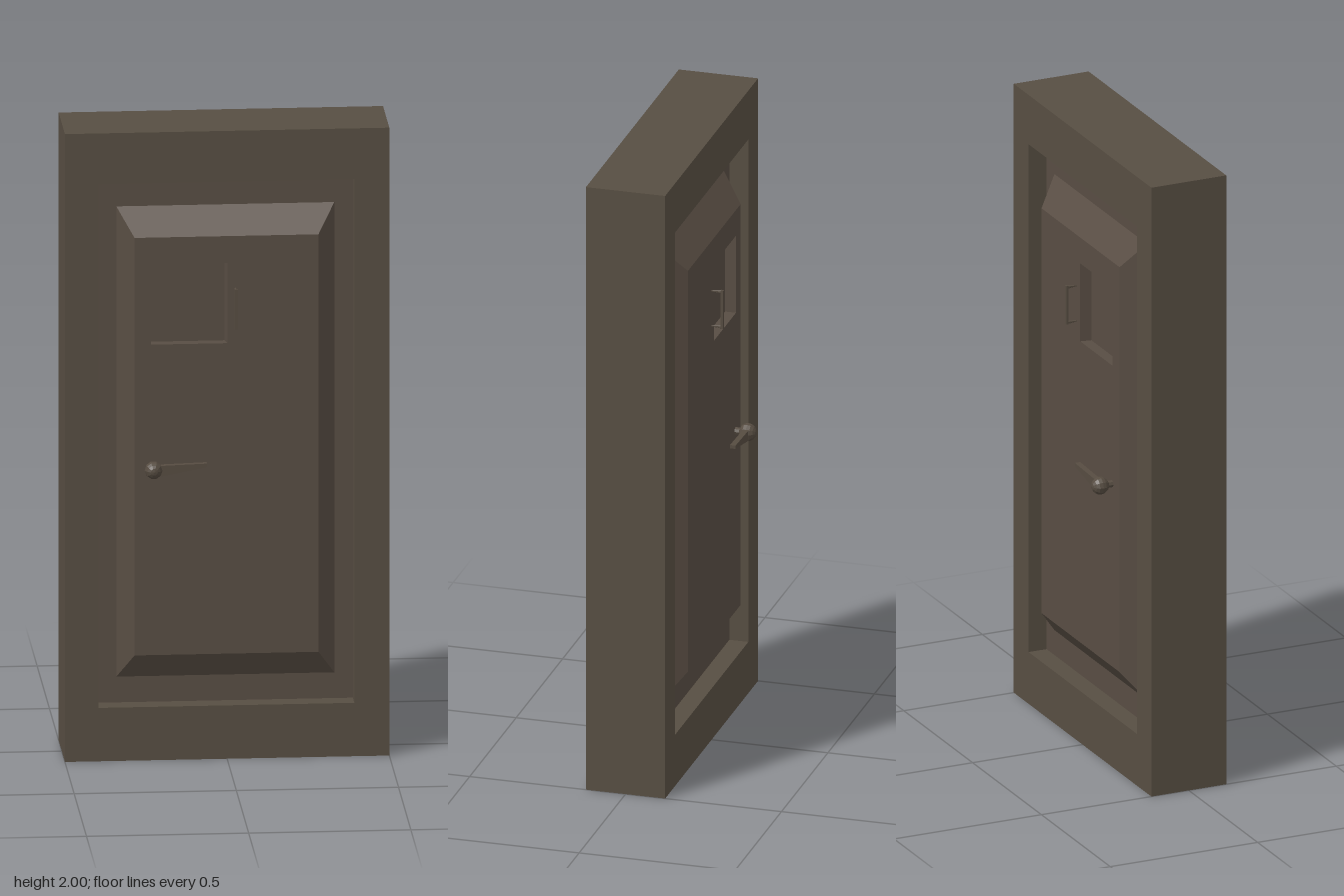
import * as THREE from 'three';

const mat = (name, color) => {
  const m = new THREE.MeshStandardMaterial({ color });
  m.name = name;
  return m;
};

// Rectangle corners, counter-clockwise seen from the front
const corners = ([x0, x1, y0, y1, z]) => [[x0, y0, z], [x1, y0, z], [x1, y1, z], [x0, y1, z]];

// Joins a row of rectangles with four-sided bands; cap closes the last one
function bands(rings, cap = false) {
  const pos = [];
  const quad = (a, b, c, d) => pos.push(...a, ...b, ...c, ...a, ...c, ...d);
  for (let r = 0; r < rings.length - 1; r++) {
    const a = corners(rings[r]), b = corners(rings[r + 1]);
    for (let i = 0; i < 4; i++) {
      const j = (i + 1) % 4;
      quad(a[i], a[j], b[j], b[i]);
    }
  }
  if (cap) quad(...corners(rings[rings.length - 1]));
  const g = new THREE.BufferGeometry();
  g.setAttribute('position', new THREE.Float32BufferAttribute(pos, 3));
  g.computeVertexNormals();
  return g;
}

// Mirrors a geometry to the back and restores the corner order
function mirrorZ(geometry) {
  const g = geometry.index ? geometry.toNonIndexed() : geometry.clone();
  g.scale(1, 1, -1);
  const p = g.attributes.position;
  for (let i = 0; i < p.count; i += 3) {
    const b = [p.getX(i + 1), p.getY(i + 1), p.getZ(i + 1)];
    p.setXYZ(i + 1, p.getX(i + 2), p.getY(i + 2), p.getZ(i + 2));
    p.setXYZ(i + 2, ...b);
  }
  g.computeVertexNormals();
  return g;
}

export function createModel() {
  const root = new THREE.Group();
  root.name = 'panelledDoor';
  const frameMat = mat('frameBrown', 0x574e42);
  const doorMat = mat('doorBrown', 0x584d43);
  const metalMat = mat('hardwareBrown', 0x564c41);
  for (const m of [doorMat, metalMat]) m.flatShading = true;

  const add = (name, geometry, material, parent = root) => {
    const mesh = new THREE.Mesh(geometry, material);
    mesh.name = name;
    parent.add(mesh);
  };

  const H = 0.127, recess = 0.066, face = 0.135;
  const outer = [-0.5, 0.5, 0, 2, H];
  const opening = [-0.396, 0.392, 0.17, 1.838, H];
  const back = [...outer.slice(0, 4), -H];
  const leaf = [...opening.slice(0, 4), recess];

  // Outer sides of the frame
  add('frameSides', bands([back, outer]), frameMat);

  // Everything below is made once for the front and mirrored to the back
  const parts = [];
  const part = (name, geometry, material) => parts.push([name, geometry, material]);

  // Frame face with its reveal
  part('frameFace', bands([outer, opening, leaf]), frameMat);

  // Door leaf, sloped raised panel and sunken hatch
  part('doorLeaf', bands([
    leaf,
    [-0.337, 0.335, 0.252, 1.75, recess],
    [-0.286, 0.281, 0.337, 1.667, face],
    [-0.236, 0.0, 1.326, 1.582, face],
    [-0.236, -0.006, 1.326, 1.582, 0.1],
  ], true), doorMat);

  // Hatch pull: upright bar on two tapered prongs
  part('hatchPullBar', new THREE.BoxGeometry(0.01, 0.126, 0.008).translate(0.025, 1.443, 0.169), metalMat);
  for (const y of [1.385, 1.501]) {
    part('hatchPullProng', new THREE.CylinderGeometry(0.006, 0.002, 0.034, 6)
      .rotateX(Math.PI / 2).translate(0.025, y, 0.15), metalMat);
  }

  // Door handle: stem, knob and tapering lever
  part('handleStem', new THREE.CylinderGeometry(0.012, 0.012, 0.04, 8)
    .rotateX(Math.PI / 2).translate(-0.23, 0.937, 0.152), metalMat);
  part('handleKnob', new THREE.SphereGeometry(0.028, 10, 8)
    .rotateX(Math.PI / 2).translate(-0.23, 0.937, 0.175), metalMat);
  const lever = new THREE.Shape([[-0.22, 0.916], [-0.066, 0.946], [-0.066, 0.957], [-0.22, 0.952]]
    .map(([x, y]) => new THREE.Vector2(x, y)));
  part('handleLever', new THREE.ExtrudeGeometry(lever, { depth: 0.018, bevelEnabled: false })
    .translate(0, 0, 0.166), metalMat);

  const front = new THREE.Group(), rear = new THREE.Group();
  front.name = 'frontSide';
  rear.name = 'backSide';
  for (const [name, geometry, material] of parts) {
    add(name, geometry, material, front);
    add(name, mirrorZ(geometry), material, rear);
  }
  root.add(front, rear);
  return root;
}
